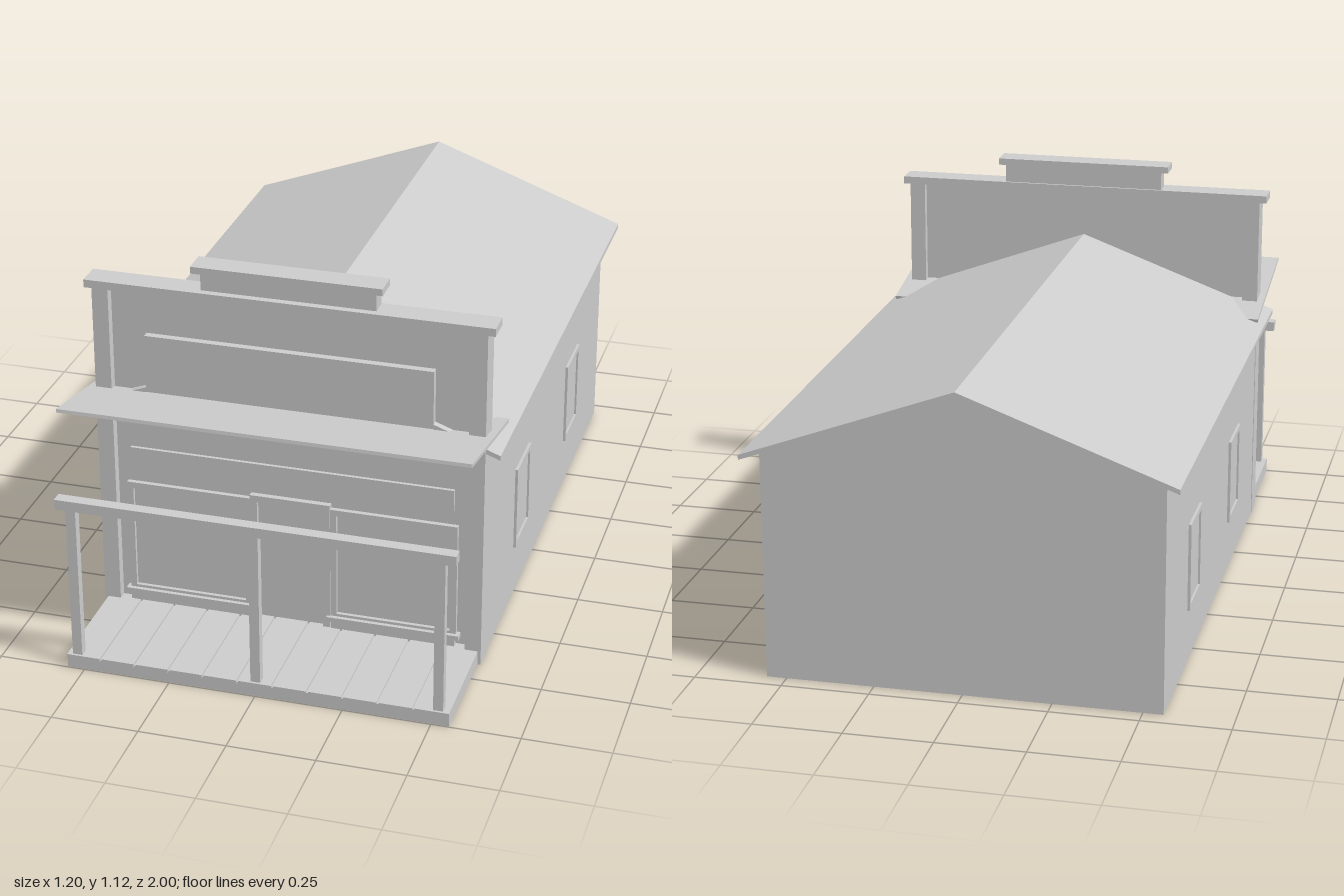
import * as THREE from 'three';

export function createModel() {
  const model = new THREE.Group();
  model.name = 'falseFrontStore';
  const grey = new THREE.MeshStandardMaterial({ color: 0xcccccc });
  grey.name = 'plainGrey';

  const add = (name, geometry, parent = model) => {
    const mesh = new THREE.Mesh(geometry, grey);
    mesh.name = name;
    parent.add(mesh);
    return mesh;
  };
  // Box given by its extents on each axis
  const box = (name, x0, x1, y0, y1, z0, z1, parent) => {
    const mesh = add(name, new THREE.BoxGeometry(x1 - x0, y1 - y0, z1 - z0), parent);
    mesh.position.set((x0 + x1) / 2, (y0 + y1) / 2, (z0 + z1) / 2);
    return mesh;
  };
  // Outline in x/y, extruded from z0 to z1
  const prism = (name, points, z0, z1) => {
    const shape = new THREE.Shape(points.map(([x, y]) => new THREE.Vector2(x, y)));
    const geometry = new THREE.ExtrudeGeometry(shape, { depth: z1 - z0, bevelEnabled: false });
    return add(name, geometry.translate(0, 0, z0));
  };
  // Rectangular frame with an opening, starting at z = 0
  const frame = (name, x0, x1, y0, y1, border, depth, parent) => {
    const rect = (Type, a, b, c, d) => new Type([[a, c], [b, c], [b, d], [a, d]].map(p => new THREE.Vector2(...p)));
    const shape = rect(THREE.Shape, x0, x1, y0, y1);
    shape.holes.push(rect(THREE.Path, x0 + border, x1 - border, y0 + border, y1 - border));
    return add(name, new THREE.ExtrudeGeometry(shape, { depth, bevelEnabled: false }), parent);
  };

  // Main building with gable ends
  const wall = 0.645;
  prism('body', [[-0.557, 0], [0.557, 0], [0.557, 0.662], [0, 0.869], [-0.557, 0.662]], -0.95, wall);
  // Thin folded roof
  prism('roof', [[-0.6, 0.65], [0, 0.87], [0.6, 0.65], [0.6, 0.664], [0, 0.885], [-0.6, 0.664]], -1, 0.666);

  // Side windows
  for (const side of [-1, 1]) {
    for (const z of [0.183, -0.512]) {
      const sideWindow = new THREE.Group();
      sideWindow.name = 'sideWindow';
      sideWindow.position.set(side * 0.557, 0, z);
      sideWindow.rotation.y = side * Math.PI / 2;
      frame('sideWindowFrame', -0.088, 0.088, 0.157, 0.413, 0.016, 0.008, sideWindow);
      box('sideWindowPane', -0.072, 0.072, 0.173, 0.397, -0.001, 0.002, sideWindow);
      model.add(sideWindow);
    }
  }

  // False front
  box('facadeWall', -0.515, 0.515, 0.6, 1.025, 0.622, wall + 0.001);
  for (const side of [-1, 1]) {
    const pilaster = box('pilaster', -0.0235, 0.0235, 0, 1.025, 0.6, 0.672);
    pilaster.position.x = side * 0.5355;
  }
  box('facadeCap', -0.58, 0.58, 1.022, 1.045, 0.6, 0.676);
  box('crest', -0.248, 0.248, 1.045, 1.1, 0.607, 0.655);
  box('crestCap', -0.27, 0.27, 1.1, 1.12, 0.6, 0.674);
  box('signBoard', -0.412, 0.412, 0.72, 0.892, wall, 0.667);
  box('fasciaBoard', -0.513, 0.513, 0.65, 0.69, wall, 0.65);
  box('transomPanel', -0.47, 0.47, 0.465, 0.532, wall, 0.655);

  // Shop windows with sills
  for (const side of [-1, 1]) {
    const shopWindow = new THREE.Group();
    shopWindow.name = 'shopWindow';
    shopWindow.position.set(side * 0.3, 0, wall);
    frame('shopWindowFrame', -0.183, 0.183, 0.07, 0.422, 0.018, 0.014, shopWindow);
    box('shopWindowPane', -0.166, 0.166, 0.085, 0.405, -0.001, 0.003, shopWindow);
    box('shopWindowSill', -0.193, 0.193, 0.065, 0.08, 0, 0.026, shopWindow);
    box('shopWindowBase', -0.18, 0.18, 0.035, 0.066, 0, 0.019, shopWindow);
    model.add(shopWindow);
  }

  // Door with its casing
  for (const side of [-1, 1]) {
    const jamb = box('doorJamb', -0.0105, 0.0105, 0.035, 0.415, wall, 0.662);
    jamb.position.x = side * 0.1065;
  }
  box('doorLintel', -0.117, 0.117, 0.414, 0.435, wall, 0.662);
  box('door', -0.096, 0.096, 0.035, 0.414, wall, 0.649);

  // Awning running through the facade and past the pilasters
  const awning = box('awning', -0.58, 0.58, -0.005, 0.005, -0.221, 0.221);
  awning.position.set(0, 0.719, 0.698);
  awning.rotation.x = -Math.atan2(0.08, 0.434);

  // Porch deck with boards
  box('deckBase', -0.55, 0.55, 0, 0.036, wall - 0.01, 0.997);
  const boards = 11, pitch = 1.1 / boards;
  for (let i = 0; i < boards; i++) {
    const x = -0.55 + i * pitch;
    box('deckBoard', x + (i ? 0.003 : 0), x + pitch - (i < boards - 1 ? 0.003 : 0), 0.03, 0.042, wall, 1);
  }

  // Porch railing
  for (const x of [-0.521, 0, 0.518]) box('railingPost', x - 0.014, x + 0.014, 0.04, 0.502, 0.967, 0.993);
  box('handrail', -0.565, 0.562, 0.5, 0.53, 0.963, 0.998);

  return model;
}
